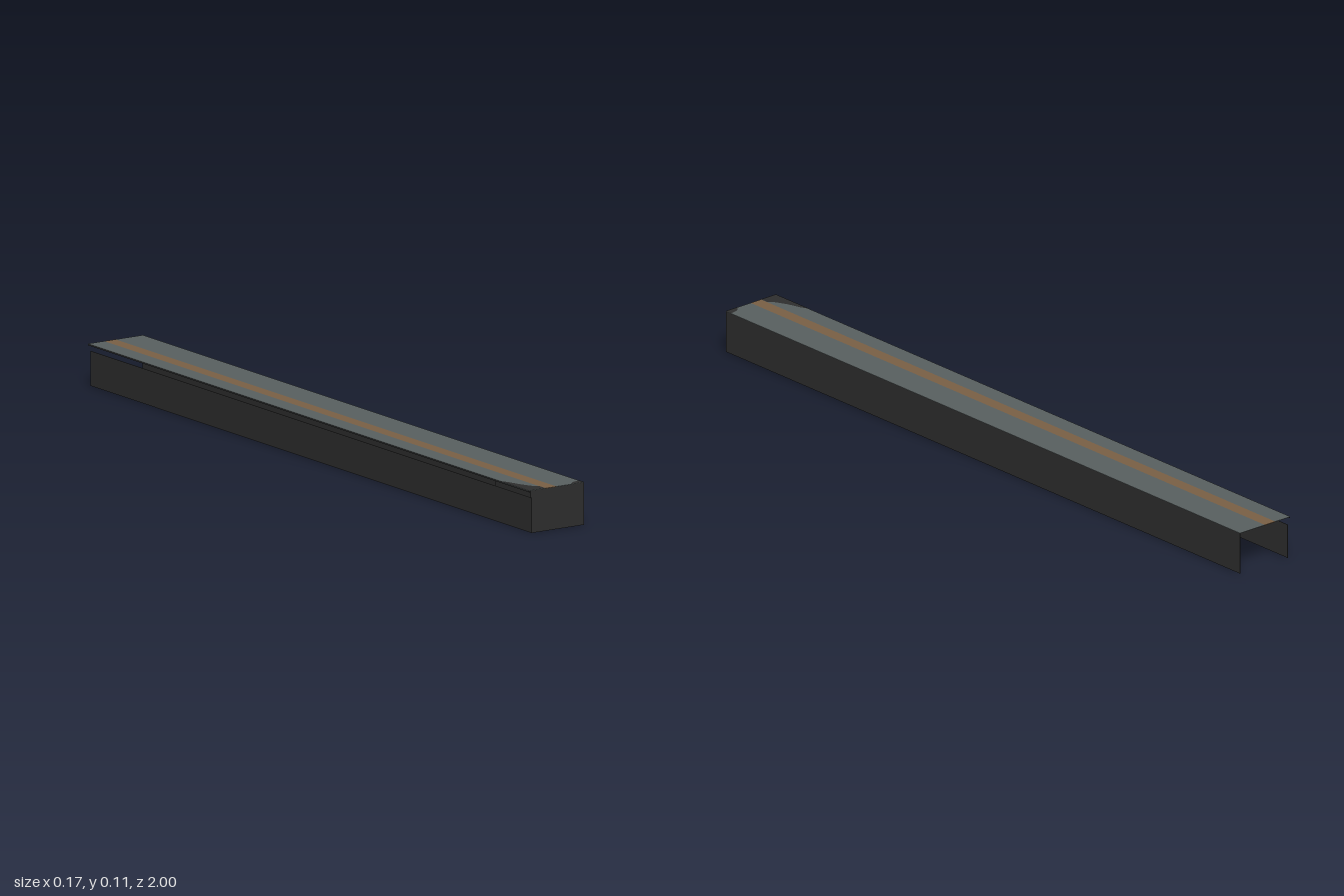
import * as THREE from 'three';

export function createModel() {
  const model = new THREE.Group();
  model.name = 'longCover';

  const mat = (name, color) => {
    const m = new THREE.MeshStandardMaterial({ color, side: THREE.DoubleSide });
    m.name = name;
    return m;
  };
  const dark = mat('charcoal', 0x2e2e2e);
  const grey = mat('slateGrey', 0x596060);
  const brown = mat('brown', 0x7a6045);

  // Thin box given by its limits on each axis
  const slab = (name, material, x0, x1, y0, y1, z0 = -1, z1 = 1) => {
    const mesh = new THREE.Mesh(new THREE.BoxGeometry(x1 - x0, y1 - y0, z1 - z0), material);
    mesh.position.set((x0 + x1) / 2, (y0 + y1) / 2, (z0 + z1) / 2);
    mesh.name = name;
    model.add(mesh);
  };

  const t = 0.001, top = 0.112;

  // Walls: full height on the left, stopping short of the roof on the right
  slab('leftWall', dark, 0.085 - t, 0.085, 0, top - t);
  slab('rightWall', dark, -0.078, -0.078 + t, 0, 0.092);
  slab('frontPlate', dark, -0.078, 0.085, 0, top - t, 1 - t, 1);

  // Roof in three strips, the narrow middle one brown
  slab('roofRight', grey, -0.086, -0.035, top - t, top);
  slab('roofStripe', brown, -0.035, 0, top - t, top);
  slab('roofLeft', grey, 0, 0.085, top - t, top);

  // Folded roof edge, and the short lip at the front right corner
  slab('roofEdge', dark, -0.086, -0.086 + t, 0.108, top - t);
  slab('cornerLip', dark, -0.082, -0.078, 0.093, top - t, 0.84, 1);

  // Dark patches lying on the front corners of the roof
  const patch = (name, points) => {
    const shape = new THREE.Shape(points.map(([x, z]) => new THREE.Vector2(x, z)));
    const mesh = new THREE.Mesh(new THREE.ShapeGeometry(shape).rotateX(Math.PI / 2), dark);
    mesh.position.y = top + 0.0006;
    mesh.name = name;
    model.add(mesh);
  };
  patch('rightCornerPatch', [[-0.086, 0.87], [-0.076, 0.89], [-0.064, 0.93], [-0.05, 0.96], [-0.035, 0.975], [-0.035, 1], [-0.086, 1]]);
  patch('leftCornerPatch', [[0.085, 0.978], [0.06, 0.984], [0.045, 1], [0.085, 1]]);

  return model;
}
